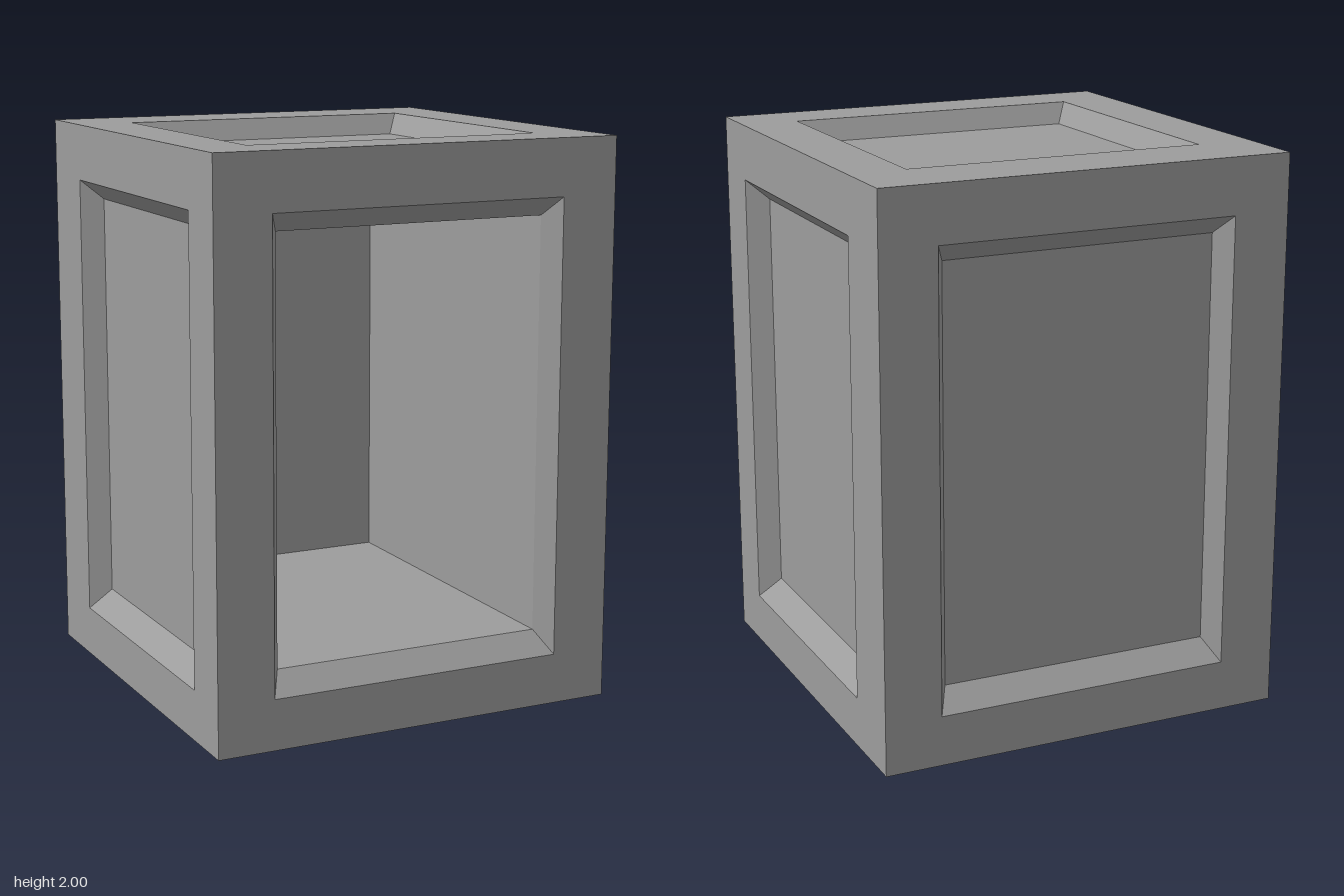
import * as THREE from 'three';

// Extents [min, max] along x, y, z
const BODY = [[-0.747, 0.747], [0, 2], [-0.747, 0.747]];
const OPENING = [[-0.542, 0.542], [0.18, 1.8], [-0.488, 0.544]];
const INNER = [[-0.498, 0.498], [0.257, 1.732], [-0.443, 0.496]];
const RECESS = 0.075;
const POCKET_BACK = -0.605;

// Each side: normal axis and sign, then the u and v axes (u x v = normal)
const SIDES = [
  { name: 'frontFrame', n: [2, 1], u: [0, 1], v: [1, 1], open: true },
  { name: 'backPanel', n: [2, -1], u: [0, -1], v: [1, 1] },
  { name: 'leftPanel', n: [0, 1], u: [2, -1], v: [1, 1] },
  { name: 'rightPanel', n: [0, -1], u: [2, 1], v: [1, 1] },
  { name: 'topPanel', n: [1, 1], u: [0, 1], v: [2, -1] },
  { name: 'bottomPanel', n: [1, -1], u: [0, 1], v: [2, 1] },
];

// Rectangle of four corners, counter-clockwise seen from outside
function ring(side, box, level) {
  return [[-1, -1], [1, -1], [1, 1], [-1, 1]].map(([a, b]) => {
    const p = [0, 0, 0];
    p[side.n[0]] = level;
    p[side.u[0]] = box[side.u[0]][a * side.u[1] > 0 ? 1 : 0];
    p[side.v[0]] = box[side.v[0]][b * side.v[1] > 0 ? 1 : 0];
    return p;
  });
}

// Join successive rectangles with quads and close the last one
function ringsGeometry(rings) {
  const pos = [];
  const quad = (a, b, c, d) => pos.push(...a, ...b, ...c, ...a, ...c, ...d);
  for (let r = 0; r + 1 < rings.length; r++) {
    for (let i = 0; i < 4; i++) {
      const j = (i + 1) % 4;
      quad(rings[r][i], rings[r][j], rings[r + 1][j], rings[r + 1][i]);
    }
  }
  quad(...rings[rings.length - 1]);
  const geo = new THREE.BufferGeometry();
  geo.setAttribute('position', new THREE.Float32BufferAttribute(pos, 3));
  geo.computeVertexNormals();
  return geo;
}

export function createModel() {
  const grey = new THREE.MeshStandardMaterial({ color: 0x9c9c9c });
  grey.name = 'grey';

  const crate = new THREE.Group();
  crate.name = 'crate';

  for (const side of SIDES) {
    const [axis, sign] = side.n;
    const face = BODY[axis][sign > 0 ? 1 : 0];
    const sunk = face - sign * RECESS;
    // Flat frame, bevelled recess, then a panel or a deep pocket
    const rings = [ring(side, BODY, face), ring(side, OPENING, face), ring(side, INNER, sunk)];
    if (side.open) rings.push(ring(side, INNER, POCKET_BACK));
    const mesh = new THREE.Mesh(ringsGeometry(rings), grey);
    mesh.name = side.name;
    crate.add(mesh);
  }

  // The box stands turned about its vertical axis
  crate.rotation.y = THREE.MathUtils.degToRad(-23.36);

  const model = new THREE.Group();
  model.name = 'model';
  model.add(crate);
  return model;
}
